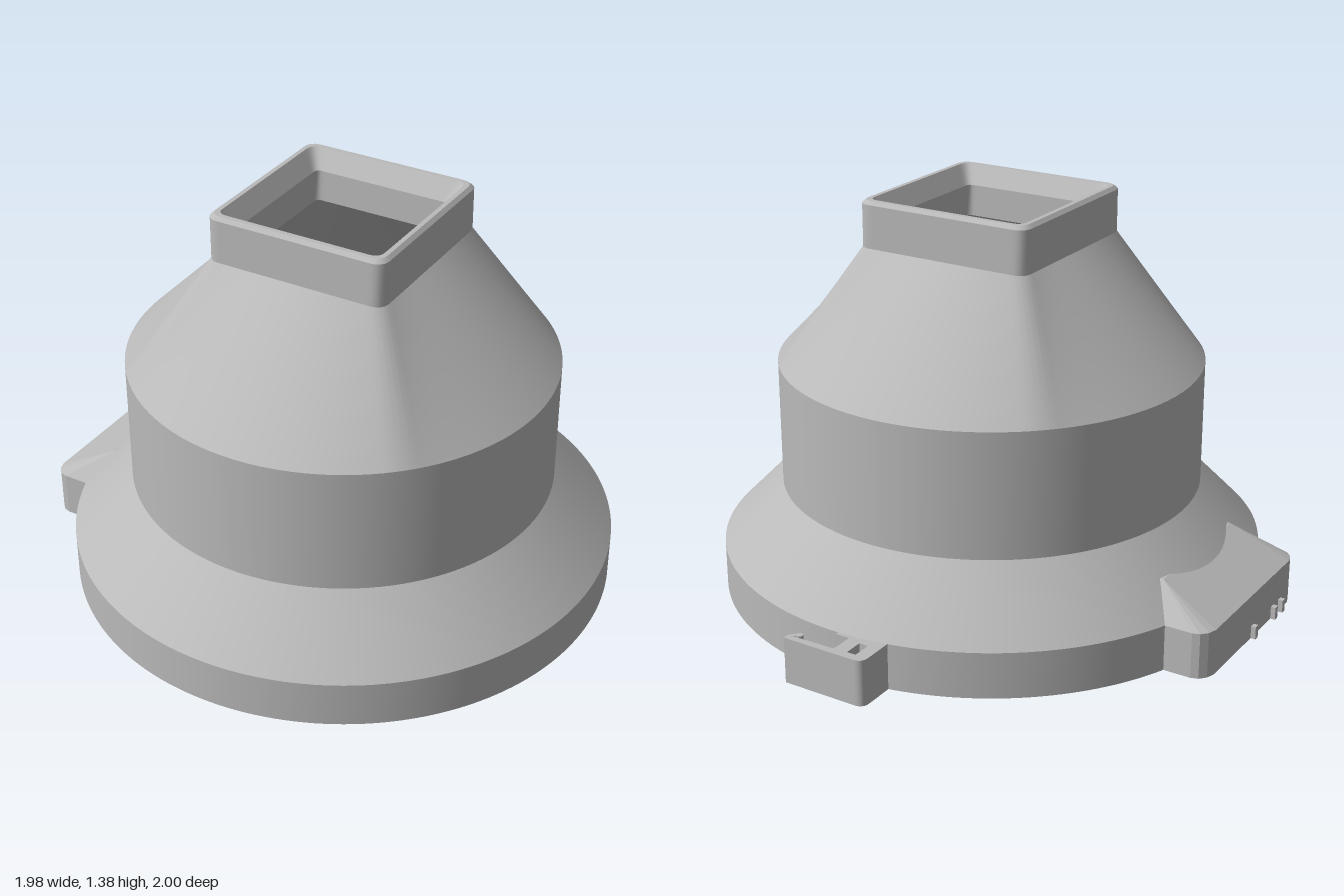
import * as THREE from 'three';
import { ConvexGeometry } from 'three/addons/geometries/ConvexGeometry.js';

const CX = 0.045, CZ = 0.057; // axis of the round body
const SEG = 192;

// Distance from the axis to a rounded square of half width h along angle a
function squareRadius(a, h, c) {
  const u = Math.abs(Math.cos(a)), v = Math.abs(Math.sin(a));
  const k = h - c, edge = h / Math.max(u, v);
  if (Math.min(u, v) * edge <= k) return edge;
  const b = k * (u + v);
  return b + Math.sqrt(Math.max(0, b * b - (2 * k * k - c * c)));
}

// Skins a list of rings [y, size, cornerRadius?]; a corner radius makes the ring square
function skin(rings, mat, name) {
  const group = new THREE.Group();
  group.name = name;
  for (let r = 0; r < rings.length - 1; r++) {
    const pos = [], idx = [];
    for (const [y, size, corner] of [rings[r], rings[r + 1]]) {
      for (let i = 0; i < SEG; i++) {
        const a = (i / SEG) * Math.PI * 2;
        const d = corner ? squareRadius(a, size, corner) : size;
        pos.push(d * Math.cos(a), y, d * Math.sin(a));
      }
    }
    for (let i = 0; i < SEG; i++) {
      const j = (i + 1) % SEG;
      idx.push(i, SEG + i, j, j, SEG + i, SEG + j);
    }
    const geo = new THREE.BufferGeometry();
    geo.setAttribute('position', new THREE.Float32BufferAttribute(pos, 3));
    geo.setIndex(idx);
    geo.computeVertexNormals();
    const mesh = new THREE.Mesh(geo, mat);
    mesh.name = name + 'Band' + (r + 1);
    group.add(mesh);
  }
  group.position.set(CX, 0, CZ);
  return group;
}

// Extrudes a plan drawn in x and z upward from y = 0
function plan(shape, height, mat, name) {
  const geo = new THREE.ExtrudeGeometry(shape, { depth: height, bevelEnabled: false, curveSegments: 64 });
  geo.rotateX(Math.PI / 2).translate(0, height, 0);
  const mesh = new THREE.Mesh(geo, mat);
  mesh.name = name;
  return mesh;
}

const circlePath = (x, y, r) => new THREE.Path().absarc(x, y, r, 0, Math.PI * 2, true);

// Curved slot between two angles in degrees
function arcSlot(r0, r1, from, to) {
  const a = THREE.MathUtils.degToRad(from), b = THREE.MathUtils.degToRad(to);
  const p = new THREE.Path();
  p.absarc(0, 0, r1, a, b, false);
  p.absarc(0, 0, r0, b, a, true);
  p.closePath();
  return p;
}

export function createModel() {
  const model = new THREE.Group();
  const grey = new THREE.MeshStandardMaterial({ color: 0xbababa });
  grey.name = 'plain grey';

  // Flared base, drum, round-to-square shoulder and square neck
  model.add(skin([
    [0, 0.94], [0.16, 0.94], [0.375, 0.73], [0.81, 0.73],
    [1.215, 0.32, 0.04], [1.363, 0.32, 0.04], [1.375, 0.308, 0.035], [1.375, 0.292, 0.03],
  ], grey, 'outerShell'));

  // Hollow inside, from the neck down to the round opening
  model.add(skin([
    [1.375, 0.292, 0.03], [1.31, 0.25, 0.015], [1.2, 0.25, 0.015], [0.79, 0.68], [0, 0.68],
  ], grey, 'innerShell'));

  // Underside with screw holes and a seal groove
  const floor = new THREE.Shape().absarc(0, 0, 0.939, 0, Math.PI * 2, false);
  floor.holes.push(circlePath(0, 0, 0.681));
  for (let i = 0; i < 4; i++) {
    const a = THREE.MathUtils.degToRad(50 + i * 90);
    floor.holes.push(circlePath(0.81 * Math.cos(a), 0.81 * Math.sin(a), 0.034));
  }
  floor.holes.push(arcSlot(0.878, 0.897, -74, 161), arcSlot(0.878, 0.897, -145, -115));
  const floorMesh = plan(floor, 0.04, grey, 'underside');
  floorMesh.position.set(CX, 0, CZ);
  model.add(floorMesh);

  // Closed ends of the holes
  const backing = new THREE.Mesh(new THREE.RingGeometry(0.681, 0.939, 96), grey);
  backing.name = 'holeBacking';
  backing.rotation.x = Math.PI / 2;
  backing.position.set(CX, 0.039, CZ);
  model.add(backing);

  // Switch housing on the right side, with a sloped roof running into the flare
  const pts = [];
  for (const s of [-1, 1]) {
    for (const [x, z] of [[-0.975, 0.29], [-0.965, 0.32], [-0.945, 0.342], [-0.92, 0.35], [-0.78, 0.35]]) {
      for (const y of [0, 0.16]) pts.push(new THREE.Vector3(x, y, 0.05 + s * z));
    }
    pts.push(new THREE.Vector3(-0.765, 0.265, 0.05 + s * 0.25));
    pts.push(new THREE.Vector3(-0.72, 0.265, 0.05 + s * 0.25));
  }
  const housing = new THREE.Mesh(new ConvexGeometry(pts), grey);
  housing.name = 'switchHousing';
  model.add(housing);

  // Small position marks on the housing
  for (const z of [0.05, 0.21, 0.27]) {
    const mark = new THREE.Mesh(new THREE.BoxGeometry(0.03, 0.045, 0.02), grey);
    mark.name = 'positionMark';
    mark.position.set(-0.977, 0.0225, z);
    model.add(mark);
  }

  // Rear clip: slotted block with a thin hooked arm
  const clip = new THREE.Shape();
  clip.moveTo(-0.145, -0.86);
  clip.lineTo(-0.145, -0.965);
  clip.quadraticCurveTo(-0.145, -1, -0.11, -1);
  clip.lineTo(0.155, -1);
  clip.lineTo(0.155, -0.978);
  clip.lineTo(0.137, -0.96);
  clip.lineTo(0.125, -0.968);
  clip.lineTo(0.135, -0.978);
  clip.lineTo(-0.01, -0.974);
  clip.quadraticCurveTo(-0.02, -0.972, -0.02, -0.96);
  clip.lineTo(-0.02, -0.895);
  clip.lineTo(0.03, -0.895);
  clip.lineTo(0.03, -0.86);
  clip.closePath();
  const slot = new THREE.Path();
  slot.moveTo(-0.1, -0.97);
  slot.lineTo(-0.1, -0.905);
  slot.lineTo(-0.068, -0.905);
  slot.lineTo(-0.068, -0.97);
  slot.closePath();
  clip.holes.push(slot);
  model.add(plan(clip, 0.16, grey, 'rearClip'));

  const catchPin = new THREE.Mesh(new THREE.CylinderGeometry(0.013, 0.013, 0.16, 16), grey);
  catchPin.name = 'clipCatch';
  catchPin.position.set(0.125, 0.08, -0.96);
  model.add(catchPin);

  return model;
}
